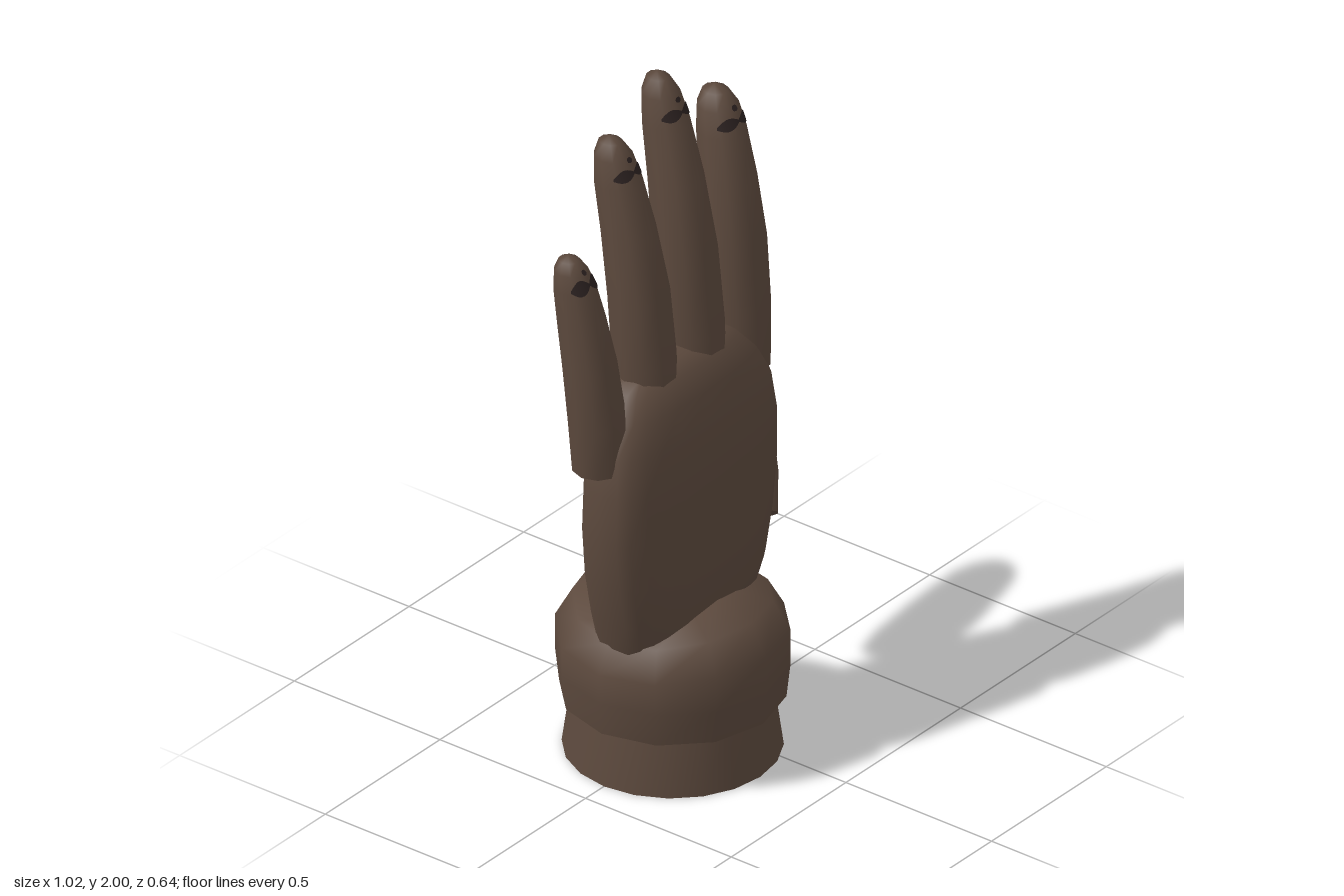
import * as THREE from 'three';

const skin = new THREE.MeshStandardMaterial({ color: 0x5c493d, side: THREE.DoubleSide });
skin.name = 'brown';
const dark = new THREE.MeshStandardMaterial({ color: 0x2b2120, side: THREE.DoubleSide });
dark.name = 'dark brown';

// Point on a ring: row = [y, centreX, centreZ, radiusX, radiusZ, sideDip]
function ringPoint(row, a, power = 2, grow = 1) {
  const [y, cx, cz, rx, rz, dip = 0] = row;
  const c = Math.cos(a), s = Math.sin(a), e = 2 / power;
  return [
    cx + grow * rx * Math.sign(c) * Math.abs(c) ** e,
    y - dip * c * c,
    cz + grow * rz * Math.sign(s) * Math.abs(s) ** e,
  ];
}

// Smooth skin through rings from bottom to top, with an optional apex and flat base
function loft(rows, { sides = 10, power = 2, apex = null, base = true } = {}) {
  const pos = [], idx = [];
  rows.forEach(row => {
    for (let j = 0; j < sides; j++) pos.push(...ringPoint(row, j / sides * Math.PI * 2, power));
  });
  for (let i = 0; i < rows.length - 1; i++) {
    for (let j = 0; j < sides; j++) {
      const k = (j + 1) % sides, a = i * sides, b = a + sides;
      idx.push(a + j, b + j, a + k, a + k, b + j, b + k);
    }
  }
  if (apex) {
    const top = (rows.length - 1) * sides, n = pos.length / 3;
    pos.push(...apex);
    for (let j = 0; j < sides; j++) idx.push(top + j, n, top + (j + 1) % sides);
  }
  if (base) {
    const n = pos.length / 3;
    pos.push(rows[0][1], rows[0][0], rows[0][2]);
    for (let j = 0; j < sides; j++) pos.push(...ringPoint(rows[0], j / sides * Math.PI * 2, power));
    for (let j = 0; j < sides; j++) idx.push(n, n + 1 + j, n + 1 + (j + 1) % sides);
  }
  return surface(pos, idx);
}

function surface(pos, idx) {
  const g = new THREE.BufferGeometry();
  g.setAttribute('position', new THREE.Float32BufferAttribute(pos, 3));
  g.setIndex(idx);
  g.computeVertexNormals();
  return g;
}

// Interpolated ring at height y
function rowAt(rows, y) {
  let i = 0;
  while (i < rows.length - 2 && rows[i + 1][0] < y) i++;
  const t = (y - rows[i][0]) / (rows[i + 1][0] - rows[i][0]);
  return rows[i].map((v, k) => v + (rows[i + 1][k] - v) * t);
}

// Thin dark patch following the finger surface between two height curves
function patch(rows, centre, half, low, high) {
  const pos = [], idx = [], steps = 14;
  for (let i = 0; i <= steps; i++) {
    const u = i / steps * 2 - 1, a = centre - u * half;
    for (const y of [low(u), high(u)]) pos.push(...ringPoint(rowAt(rows, y), a, 2, 1.04));
    if (i < steps) idx.push(2 * i, 2 * i + 2, 2 * i + 1, 2 * i + 1, 2 * i + 2, 2 * i + 3);
  }
  return surface(pos, idx);
}

function add(parent, name, geometry, material = skin) {
  const mesh = new THREE.Mesh(geometry, material);
  mesh.name = name;
  parent.add(mesh);
  return mesh;
}

// One finger with its nail marks
function finger(name, rows, apex, nailY, thick = 0.026, facing = Math.PI / 2) {
  const group = new THREE.Group();
  group.name = name;
  add(group, name + 'Body', loft(rows, { apex }));
  const mid = u => nailY + 0.012 * (1 - u * u);
  const width = u => 0.003 + thick * Math.max(0, Math.sin(Math.PI * Math.abs(u))) * 0.5;
  add(group, name + 'NailEdge', patch(rows, facing, 1.05, u => mid(u) - width(u), u => mid(u) + width(u)), dark);
  const dot = u => 0.007 * Math.sqrt(1 - u * u);
  add(group, name + 'NailDot', patch(rows, facing, 0.18, u => nailY + 0.045 - dot(u), u => nailY + 0.045 + dot(u)), dark);
  return group;
}

export function createModel() {
  const hand = new THREE.Group();
  hand.name = 'hand';

  // Hollow wrist and closed padded cuff
  add(hand, 'wrist', loft([
    [0, -0.12, 0, 0.30, 0.30], [0.18, -0.12, 0, 0.275, 0.275],
  ], { sides: 20, base: false }));
  add(hand, 'cuff', loft([
    [0.17, -0.12, 0, 0.31, 0.31],
    [0.27, -0.12, 0, 0.323, 0.32],
    [0.38, -0.12, 0, 0.325, 0.32, 0.02],
    [0.47, -0.12, 0, 0.28, 0.27, 0.03],
    [0.50, -0.12, 0, 0.16, 0.15, 0.04],
  ], { sides: 12, apex: [-0.12, 0.49, 0] }));

  // Flattened palm
  add(hand, 'palm', loft([
    [0.42, -0.125, 0.015, 0.275, 0.12],
    [0.52, -0.125, 0.023, 0.305, 0.133],
    [0.65, -0.125, 0.025, 0.335, 0.135],
    [0.80, -0.122, 0.025, 0.352, 0.135],
    [0.94, -0.117, 0.024, 0.35, 0.133],
    [1.05, -0.113, 0.015, 0.337, 0.125],
    [1.14, -0.113, 0.003, 0.297, 0.11],
    [1.20, -0.113, -0.01, 0.24, 0.085],
    [1.225, -0.113, -0.015, 0.17, 0.05],
  ], { sides: 24, power: 2.9, apex: [-0.113, 1.235, -0.015] }));

  // Four fingers, leaning slightly back
  hand.add(finger('indexFinger', [
    [1.06, 0.18, -0.01, 0.088, 0.092],
    [1.22, 0.188, -0.018, 0.092, 0.093],
    [1.42, 0.194, -0.035, 0.092, 0.09],
    [1.60, 0.201, -0.063, 0.081, 0.083],
    [1.74, 0.209, -0.092, 0.068, 0.074],
    [1.81, 0.213, -0.108, 0.058, 0.06],
    [1.85, 0.216, -0.118, 0.034, 0.038],
  ], [0.218, 1.865, -0.123], 1.77));
  hand.add(finger('middleFinger', [
    [1.10, -0.012, -0.012, 0.088, 0.09],
    [1.25, -0.012, -0.018, 0.092, 0.092],
    [1.48, -0.012, -0.04, 0.09, 0.09],
    [1.70, -0.009, -0.077, 0.076, 0.083],
    [1.86, -0.006, -0.113, 0.064, 0.071],
    [1.94, -0.005, -0.132, 0.053, 0.056],
    [1.985, -0.004, -0.142, 0.03, 0.034],
  ], [-0.004, 2.0, -0.146], 1.89));
  hand.add(finger('ringFinger', [
    [1.10, -0.22, -0.012, 0.087, 0.088],
    [1.25, -0.222, -0.017, 0.091, 0.09],
    [1.45, -0.224, -0.035, 0.088, 0.088],
    [1.64, -0.227, -0.068, 0.075, 0.081],
    [1.78, -0.23, -0.1, 0.065, 0.071],
    [1.855, -0.231, -0.117, 0.053, 0.055],
    [1.895, -0.232, -0.126, 0.03, 0.034],
  ], [-0.232, 1.91, -0.13], 1.81));
  hand.add(finger('littleFinger', [
    [1.0, -0.42, -0.014, 0.08, 0.075],
    [1.15, -0.427, -0.018, 0.083, 0.08],
    [1.32, -0.437, -0.035, 0.077, 0.077],
    [1.46, -0.445, -0.058, 0.067, 0.07],
    [1.56, -0.452, -0.076, 0.058, 0.061],
    [1.61, -0.456, -0.085, 0.047, 0.048],
    [1.64, -0.458, -0.09, 0.028, 0.03],
  ], [-0.458, 1.652, -0.093], 1.57, 0.036));

  // Thumb, built upright then tilted outwards and back
  const thumb = finger('thumb', [
    [0, 0, 0, 0.085, 0.09],
    [0.12, 0.004, 0, 0.096, 0.1],
    [0.24, 0.004, 0, 0.093, 0.096],
    [0.36, 0, 0, 0.084, 0.087],
    [0.44, 0, 0, 0.076, 0.078],
    [0.50, 0, 0, 0.058, 0.058],
    [0.53, 0, 0, 0.032, 0.032],
  ], [0, 0.54, 0], 0.45, 0.026, 0);
  thumb.position.set(0.24, 0.53, -0.03);
  thumb.quaternion.setFromUnitVectors(
    new THREE.Vector3(0, 1, 0), new THREE.Vector3(0.21, 0.38, -0.225).normalize());
  hand.add(thumb);

  return hand;
}
